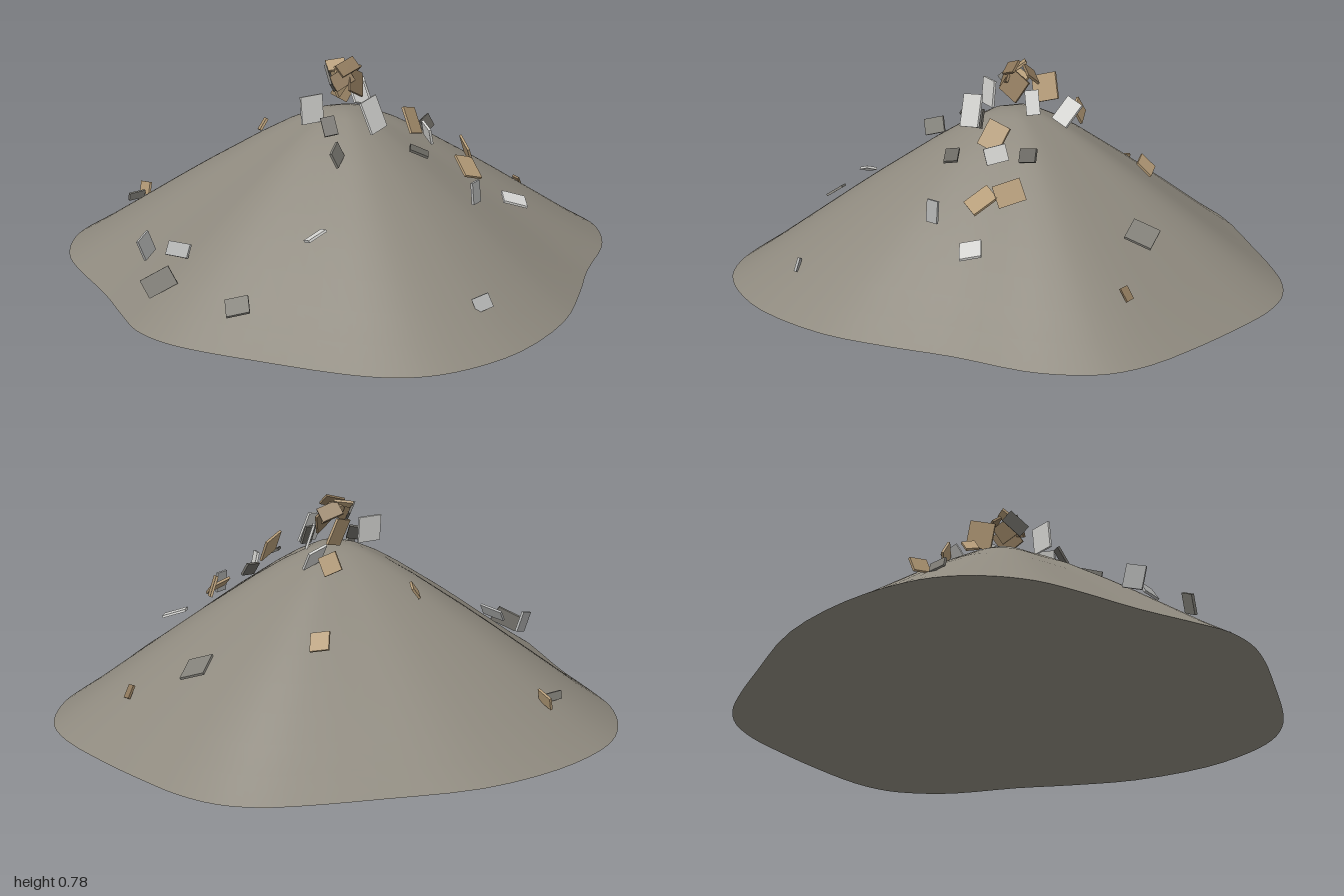
import * as THREE from 'three';

const material = (name, color) => {
  const m = new THREE.MeshStandardMaterial({ color });
  m.name = name;
  return m;
};

// Lobed footprint of the heap as x, z pairs
const FOOTPRINT = [
  [-0.2, -1], [0.1, -0.95], [0.42, -0.8], [0.65, -0.68], [0.77, -0.6], [0.86, -0.5], [0.92, -0.36],
  [0.95, -0.2], [0.975, 0], [0.985, 0.25], [0.95, 0.4], [0.87, 0.51], [0.76, 0.6], [0.53, 0.71],
  [0.33, 0.83], [0.1, 0.945], [-0.2, 1], [-0.42, 0.97], [-0.56, 0.91], [-0.66, 0.82], [-0.74, 0.7],
  [-0.86, 0.45], [-0.955, 0.23], [-0.99, 0.1], [-0.99, -0.03], [-0.95, -0.15], [-0.87, -0.36],
  [-0.8, -0.6], [-0.75, -0.73], [-0.67, -0.84], [-0.56, -0.93], [-0.43, -0.98],
];

// Height of the slope from the peak (0) to the rim (1)
const SLOPE = [[0, 0.595], [0.05, 0.592], [0.1, 0.58], [0.2, 0.532], [0.3, 0.473], [0.4, 0.408],
  [0.5, 0.343], [0.6, 0.275], [0.7, 0.205], [0.8, 0.135], [0.9, 0.065], [1, 0]];

// Chips per colour: x, y, z, width, height, facing direction x, y, z, spin
const CHIPS = {
  white: [
    [-0.5, 0.31, 0.34, 0.04, 0.075, -0.3, 1, -0.4, 0.7],
    [0.35, 0.27, 0.5, 0.075, 0.09, 0.1, 1, 0.35, 0.6],
    [-0.19, 0.62, 0, 0.09, 0.1, -0.2, 0.1, 1, 0],
    [-0.06, 0.61, 0.18, 0.09, 0.12, 0.1, 0.35, 1, 0.15],
    [0.145, 0.6, -0.1, 0.08, 0.1, 0.15, 0.6, 0.8, -0.3],
    [0.16, 0.51, 0.24, 0.08, 0.06, 0.9, 0.25, 0.5, 0.2],
    [0.08, 0.64, 0.01, 0.05, 0.09, 0.7, 0.3, 0.6, 0.1],
  ],
  lightGrey: [
    [-0.77, 0.19, -0.24, 0.07, 0.08, 0.3, 0.2, 1, 0.3],
    [-0.73, 0.2, -0.11, 0.1, 0.05, -1, 0.6, 0.1, 0.1],
    [0.135, 0.35, 0.5, 0.05, 0.08, 0.2, 0.1, 1, 0],
    [-0.21, 0.13, 0.84, 0.06, 0.05, -0.8, 0.3, 0.8, 0.4],
  ],
  grey: [
    [-0.39, 0.15, -0.78, 0.07, 0.03, 0.1, 0.2, -1, 0],
    [0.62, 0.28, -0.04, 0.1, 0.1, 0.55, 1, 0.15, 0.8],
    [-0.86, 0.13, -0.06, 0.11, 0.07, -0.8, 0.3, 0.8, 0.5],
    [-0.81, 0.13, 0.29, 0.08, 0.07, -0.6, 1, 0.3, 0.4],
    [-0.26, 0.51, 0.2, 0.08, 0.06, 0.4, 0.35, 0.9, 0.3],
  ],
  darkGrey: [
    [0.02, 0.49, 0.33, 0.05, 0.07, 0.2, 1, 0.4, 0.3],
    [-0.2, 0.58, 0.1, 0.05, 0.07, -0.6, 0.6, 0.7, 0.2],
    [-0.035, 0.585, 0.17, 0.05, 0.07, 0.1, 0.3, 1, 0.1],
    [0.24, 0.51, 0.16, 0.07, 0.05, 0.2, 0.5, 1, 0.2],
    [-0.08, 0.71, -0.02, 0.09, 0.05, 0.7, 0.4, 0.7, 0.7],
  ],
  tan: [
    [-0.33, 0.16, -0.8, 0.07, 0.05, -1, 0.3, -0.2, 0.2],
    [-0.13, 0.48, -0.33, 0.05, 0.05, -0.7, 0.6, -0.6, 0.3],
    [0.31, 0.39, -0.34, 0.07, 0.07, 0.7, 0.7, -0.3, 0.3],
    [0.31, 0.42, 0.3, 0.1, 0.08, 0.85, 0.35, 0.6, 0.3],
    [0.24, 0.39, 0.37, 0.08, 0.1, 0.15, 0.8, 0.6, -0.5],
    [0.11, 0.56, 0.21, 0.09, 0.1, 0.4, 0.5, 0.9, -0.3],
    [0.13, 0.59, -0.17, 0.07, 0.07, 0.9, 0.3, -0.5, 0.5],
    [0.03, 0.67, -0.09, 0.1, 0.1, 0.35, 0.3, 1, 0.3],
    [-0.02, 0.71, 0, 0.09, 0.07, 0.1, 0.6, 0.8, -0.3],
    [-0.04, 0.75, -0.03, 0.07, 0.05, -0.4, 0.8, 0.4, 0.2],
  ],
  brown: [
    [0.77, 0.16, 0.165, 0.03, 0.05, 0.9, 0.6, 0.1, 0.2],
    [0, 0.69, 0.03, 0.09, 0.09, 0.3, 0.3, 0.9, -0.5],
    [-0.06, 0.71, 0.02, 0.08, 0.06, -0.5, 0.4, 0.8, 0.5],
    [0.02, 0.73, -0.03, 0.08, 0.06, 0.5, 0.7, -0.5, 0.5],
    [-0.03, 0.75, 0.02, 0.08, 0.05, -0.3, 0.6, 0.7, 0.4],
  ],
};

function buildMound() {
  const curve = new THREE.CatmullRomCurve3(FOOTPRINT.map(([x, z]) => new THREE.Vector3(x, 0, z)), true);
  const sides = 96;
  const rim = curve.getPoints(sides).slice(0, sides);
  const cx = -0.03;
  const positions = [];
  const index = [];
  // Shrinking copies of the footprint rise to the peak
  for (const [t, y] of SLOPE) {
    for (const p of rim) positions.push(cx + (p.x - cx) * t, y, p.z * t);
  }
  for (let r = 0; r < SLOPE.length - 1; r++) {
    for (let i = 0; i < sides; i++) {
      const j = (i + 1) % sides;
      const a = r * sides + i, b = r * sides + j, c = a + sides, d = b + sides;
      if (r > 0) index.push(a, b, c);
      index.push(b, d, c);
    }
  }
  const geometry = new THREE.BufferGeometry();
  geometry.setAttribute('position', new THREE.Float32BufferAttribute(positions, 3));
  geometry.setIndex(index);
  geometry.computeVertexNormals();
  // The collapsed peak ring points straight up
  for (let i = 0; i < sides; i++) geometry.attributes.normal.setXYZ(i, 0, 1, 0);

  const base = new THREE.ShapeGeometry(new THREE.Shape(rim.map((p) => new THREE.Vector2(p.x, p.z))));
  base.rotateX(Math.PI / 2);
  return [geometry, base];
}

export function createModel() {
  const model = new THREE.Group();
  model.name = 'rubbleHeap';
  const earth = material('earth', 0x8e897e);
  const materials = {
    white: material('white', 0xd6d6d3),
    lightGrey: material('lightGrey', 0xb2b3b2),
    grey: material('grey', 0x83817a),
    darkGrey: material('darkGrey', 0x6a6862),
    tan: material('tan', 0xb59c78),
    brown: material('brown', 0x8f795c),
  };

  // Earth heap and its flat underside
  const [slope, base] = buildMound();
  [['mound', slope], ['moundBase', base]].forEach(([name, geometry]) => {
    const mesh = new THREE.Mesh(geometry, earth);
    mesh.name = name;
    model.add(mesh);
  });

  // Thin flat chips strewn over the slope and piled on the peak
  const chip = new THREE.BoxGeometry(1, 1, 0.009);
  for (const [color, rows] of Object.entries(CHIPS)) {
    const group = new THREE.Group();
    group.name = `${color}Chips`;
    for (const [x, y, z, w, h, nx, ny, nz, spin] of rows) {
      const mesh = new THREE.Mesh(chip, materials[color]);
      mesh.name = 'chip';
      mesh.position.set(x, y, z);
      mesh.lookAt(x + nx, y + ny, z + nz);
      mesh.rotateZ(spin);
      mesh.scale.set(w, h, 1);
      group.add(mesh);
    }
    model.add(group);
  }
  return model;
}
